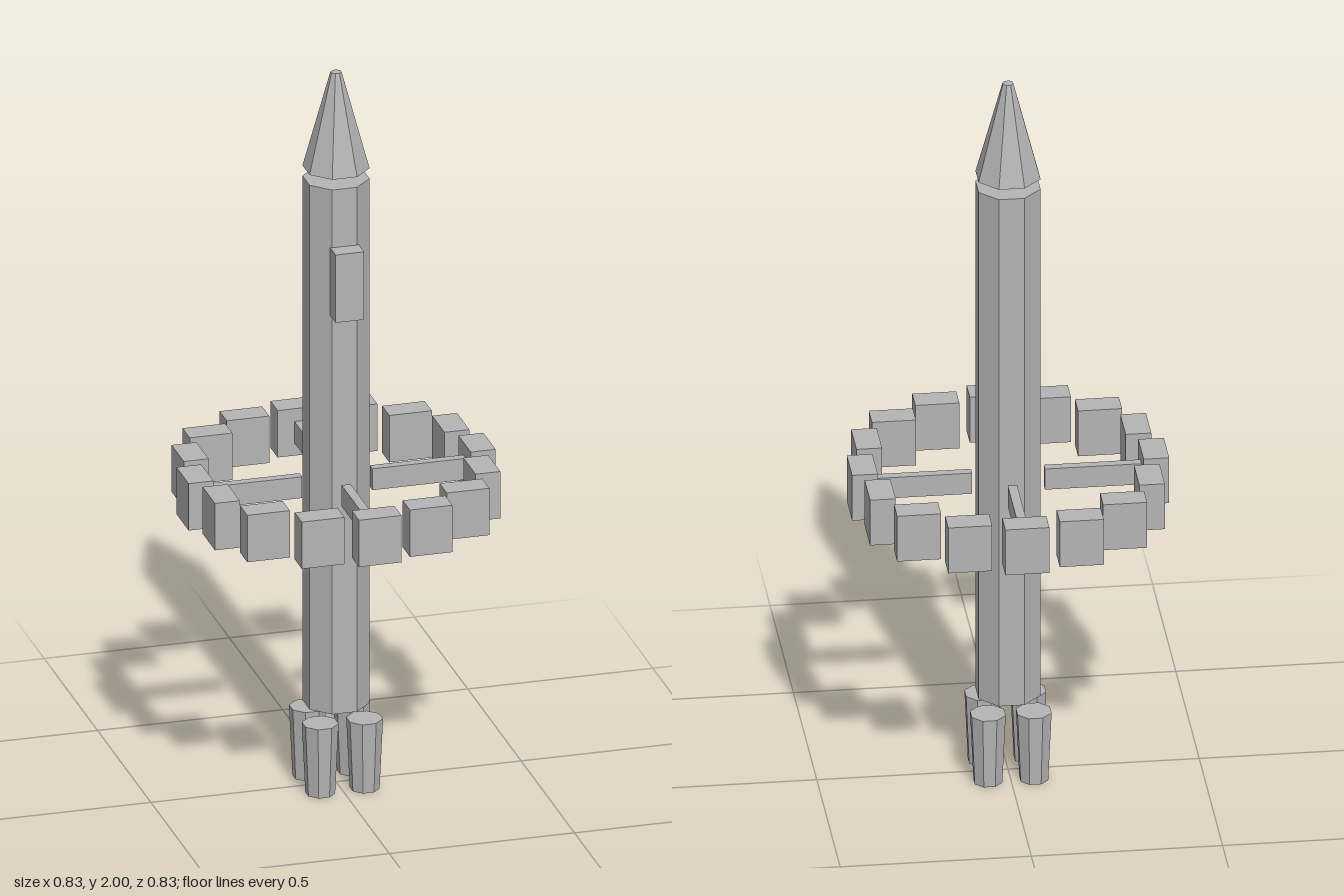
import * as THREE from 'three';

export function createModel() {
  const model = new THREE.Group();
  model.name = 'rocketStation';

  const hullGrey = new THREE.MeshStandardMaterial({ color: 0xb4b4b4, flatShading: true });
  hullGrey.name = 'hullGrey';

  const add = (name, geometry, x, y, z) => {
    const mesh = new THREE.Mesh(geometry, hullGrey);
    mesh.name = name;
    mesh.position.set(x, y, z);
    model.add(mesh);
  };

  // Eight-sided tapered prism with flats facing the axes, sized by its flats
  const octagon = (name, flatTop, flatBottom, y0, y1, x = 0, z = 0) => {
    const k = 1 / Math.cos(Math.PI / 8);
    const geometry = new THREE.CylinderGeometry(flatTop * k, flatBottom * k, y1 - y0, 8, 1, false, Math.PI / 8);
    add(name, geometry, x, (y0 + y1) / 2, z);
  };

  // Hull and separate nose cone
  octagon('hull', 0.081, 0.081, 0.226, 1.703);
  octagon('noseCone', 0.0135, 0.081, 1.732, 2);

  // Four engines, narrowing downwards
  for (const sx of [-1, 1]) {
    for (const sz of [-1, 1]) octagon('engine', 0.0445, 0.036, 0, 0.197, sx * 0.06, sz * 0.06);
  }

  // Docking box on the front of the hull
  add('dockingBox', new THREE.BoxGeometry(0.077, 0.191, 0.055), 0, 1.445, 0.1025);

  // Ring of sixteen axis-aligned modules
  const ringY = 0.845, ringRadius = 0.381;
  for (let i = 0; i < 16; i++) {
    const a = (i * Math.PI) / 8;
    const x = ringRadius * Math.cos(a), z = ringRadius * Math.sin(a);
    const alongZ = Math.abs(x) > Math.abs(z) + 0.01;
    const geometry = new THREE.BoxGeometry(alongZ ? 0.067 : 0.115, 0.132, alongZ ? 0.115 : 0.067);
    add('ringModule', geometry, x, ringY, z);
  }

  // Four spokes, stopping just short of the hull
  const inner = 0.095, outer = 0.352, mid = (inner + outer) / 2;
  for (const s of [-1, 1]) {
    add('spoke', new THREE.BoxGeometry(outer - inner, 0.06, 0.0245), s * mid, ringY, 0);
    add('spoke', new THREE.BoxGeometry(0.0245, 0.06, outer - inner), 0, ringY, s * mid);
  }

  return model;
}
